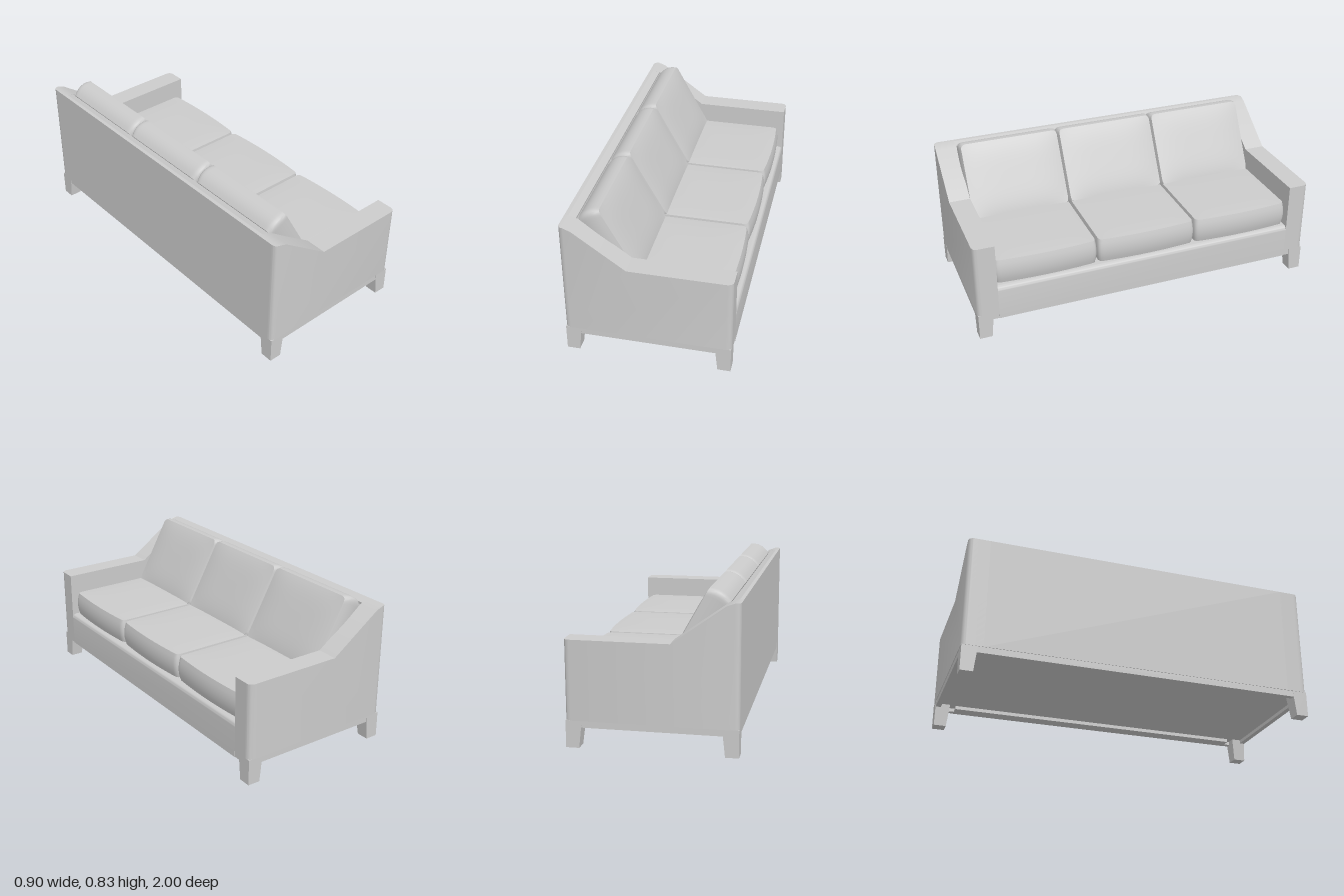
import * as THREE from 'three';
import { toCreasedNormals } from 'three/addons/utils/BufferGeometryUtils.js';

const material = new THREE.MeshStandardMaterial({ color: 0xcccccc });

function part(geometry, name, parent) {
  const mesh = new THREE.Mesh(geometry, material);
  mesh.name = name;
  parent.add(mesh);
  return mesh;
}

// Move every vertex of a geometry by a rule
function reshape(geometry, rule) {
  const p = geometry.attributes.position;
  const v = new THREE.Vector3();
  for (let i = 0; i < p.count; i++) {
    v.fromBufferAttribute(p, i);
    rule(v);
    p.setXYZ(i, v.x, v.y, v.z);
  }
  return geometry;
}

// Side profile (x, y) swept along z
function sweep(points, z0, z1, steps = 1) {
  const shape = new THREE.Shape(points.map(([x, y]) => new THREE.Vector2(x, y)));
  return new THREE.ExtrudeGeometry(shape, { depth: z1 - z0, steps, bevelEnabled: false }).translate(0, 0, z0);
}

function box(x0, x1, y0, y1, z0, z1) {
  return new THREE.BoxGeometry(x1 - x0, y1 - y0, z1 - z0)
    .translate((x0 + x1) / 2, (y0 + y1) / 2, (z0 + z1) / 2);
}

// Boxed cushion: rounded outline, bulging sides, crowned faces, optional buttons.
// Local z is its thickness; local -y is the front or lower edge.
function cushion(width, height, thick, { r, bulge, crown, bow = 0, buttons = [] }) {
  const hx = width / 2, hy = height / 2, hz = thick / 2;
  const geometry = new THREE.BoxGeometry(width, height, thick, 40, 32, 6);
  reshape(geometry, (v) => {
    const u = v.x / hx, w = v.y / hy, t = v.z / hz;
    // round the outline corners
    const cx = THREE.MathUtils.clamp(v.x, r - hx, hx - r);
    const cy = THREE.MathUtils.clamp(v.y, r - hy, hy - r);
    const dx = v.x - cx, dy = v.y - cy, len = Math.hypot(dx, dy);
    if (len > 0) {
      const k = Math.max(Math.abs(dx), Math.abs(dy)) / len;
      v.x = cx + dx * k;
      v.y = cy + dy * k;
    }
    // puff the sides and faces
    const side = bulge * (1 - t * t);
    v.x += u * side * 0.5;
    v.y += w * side;
    v.y -= bow * (1 - u * u) * Math.max(0, -w);
    v.z += t * crown * (1 - u ** 4) * (1 - w ** 4);
    // press in the buttons
    if (t === 1) {
      for (const [bx, by] of buttons) {
        const d2 = (v.x - bx) ** 2 + ((v.y - by) * 0.6) ** 2;
        v.z -= 0.016 * Math.exp(-d2 / 0.0009);
      }
    }
  });
  return toCreasedNormals(geometry, 0.7);
}

// Place a cushion with its face normal at an angle above +x
function aim(geometry, angle, x, y) {
  const c = Math.cos(angle), s = Math.sin(angle);
  const basis = new THREE.Matrix4().makeBasis(
    new THREE.Vector3(0, 0, -1), new THREE.Vector3(-s, c, 0), new THREE.Vector3(c, s, 0));
  return geometry.applyMatrix4(basis).translate(x, y, 0);
}

export function createModel() {
  const sofa = new THREE.Group();
  sofa.name = 'sofa';

  // Arms: stepped profile with rounded outer upright corners
  const armProfile = [[-0.45, 0.145], [0.45, 0.145], [0.45, 0.57], [-0.1, 0.57],
    [-0.38, 0.77], [-0.43, 0.785], [-0.45, 0.785]];
  const radius = 0.03;
  for (const side of [1, -1]) {
    const geometry = sweep(armProfile, side > 0 ? 0.88 : -1, side > 0 ? 1 : -0.88, 24);
    reshape(geometry, (v) => {
      const t = Math.max(0, Math.abs(v.z) - (1 - radius));
      const limit = 0.45 - radius + Math.sqrt(Math.max(0, radius * radius - t * t));
      v.x = THREE.MathUtils.clamp(v.x, -limit, limit);
    });
    part(toCreasedNormals(geometry, 0.6), side > 0 ? 'leftEndArm' : 'rightEndArm', sofa);
  }

  // Back with a sloping inner face
  part(sweep([[-0.45, 0.145], [-0.17, 0.145], [-0.18, 0.38], [-0.39, 0.76], [-0.39, 0.772],
    [-0.43, 0.785], [-0.45, 0.785]], -0.88, 0.88), 'back', sofa);

  // Front rail with a rounded top edge
  const rail = [[0.37, 0.11], [0.45, 0.11]];
  for (let i = 0; i <= 6; i++) {
    const a = (i / 6) * Math.PI / 2;
    rail.push([0.425 + 0.025 * Math.cos(a), 0.285 + 0.025 * Math.sin(a)]);
  }
  rail.push([0.37, 0.31]);
  part(toCreasedNormals(sweep(rail, -0.88, 0.88), 0.6), 'frontRail', sofa);

  // Seat deck, recessed underneath inside a base rim
  part(box(-0.42, 0.4, 0.13, 0.305, -0.95, 0.95).scale(1, 1, 0.92), 'seatDeck', sofa);
  part(box(-0.43, 0.43, 0.13, 0.146, -0.98, 0.98), 'bottomPanel', sofa);
  for (const s of [1, -1]) {
    part(box(s > 0 ? 0.417 : -0.447, s > 0 ? 0.447 : -0.417, 0.11, 0.146, -0.967, 0.967), 'baseRimLong', sofa);
    part(box(-0.447, 0.447, 0.11, 0.146, s > 0 ? 0.967 : -0.997, s > 0 ? 0.997 : -0.967), 'baseRimEnd', sofa);
  }

  // Legs: inner faces taper towards the floor
  for (const sx of [1, -1]) {
    for (const sz of [1, -1]) {
      const leg = new THREE.BoxGeometry(0.086, 0.146, 0.086).translate(sx * 0.405, 0.073, sz * 0.955);
      reshape(leg, (v) => {
        if (v.y > 0.01) return;
        if (Math.abs(v.x) < 0.4) v.x += sx * 0.016;
        if (Math.abs(v.z) < 0.95) v.z += sz * 0.016;
      });
      leg.computeVertexNormals();
      part(leg, 'leg', sofa);
    }
  }

  // Three seat cushions and three buttoned back cushions
  const seat = aim(cushion(0.57, 0.56, 0.142, { r: 0.02, bulge: 0.012, crown: 0.006, bow: 0.014 }),
    Math.PI / 2, 0.125, 0.381);
  const backrest = aim(cushion(0.572, 0.434, 0.128, {
    r: 0.025, bulge: 0.018, crown: 0.012, buttons: [[-0.15, 0.01], [0, 0.01], [0.15, 0.01]],
  }), 0.505, -0.222, 0.609);
  for (const z of [-0.589, 0, 0.589]) {
    part(seat, 'seatCushion', sofa).position.z = z;
    part(backrest, 'backCushion', sofa).position.z = z;
  }
  return sofa;
}
